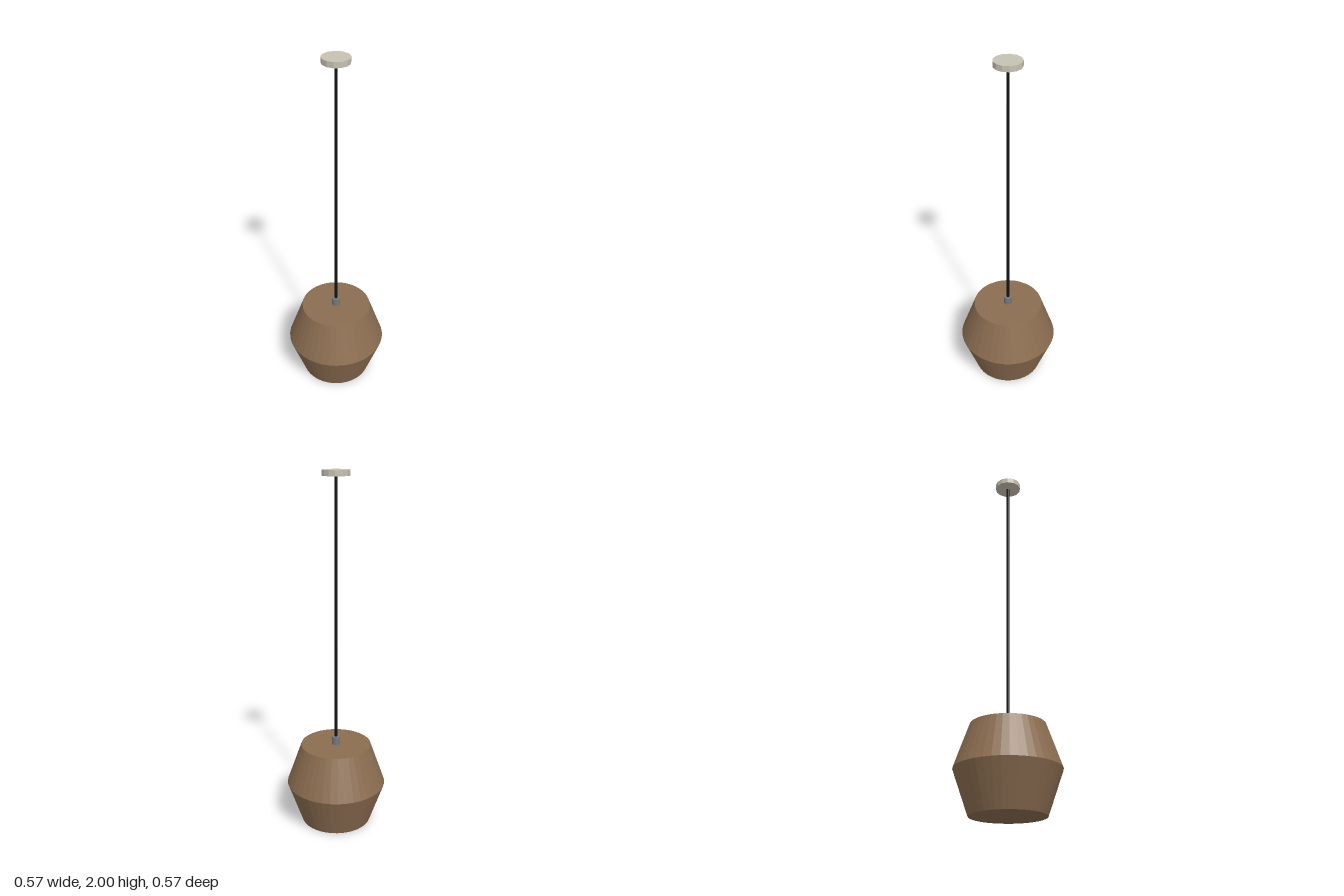
import * as THREE from 'three';

const paint = (color) => new THREE.MeshStandardMaterial({ color, flatShading: true });

export function createModel() {
  const lamp = new THREE.Group();
  lamp.name = 'pendantLamp';

  // Upright cylinder or cone section between two heights, with a vertex on +x
  function section(name, rBottom, rTop, y0, y1, sides, material, open = false) {
    const geometry = new THREE.CylinderGeometry(rTop, rBottom, y1 - y0, sides, 1, open, Math.PI / 2);
    const mesh = new THREE.Mesh(geometry, material);
    mesh.name = name;
    mesh.position.y = (y0 + y1) / 2;
    lamp.add(mesh);
  }

  // Closed double-cone shade, widest at its middle
  const profile = [[0, 0], [0.2, 0], [0.283, 0.235], [0.2, 0.47], [0, 0.47]];
  const shade = new THREE.Mesh(
    new THREE.LatheGeometry(profile.map(([r, y]) => new THREE.Vector2(r, y)), 40),
    paint(0x8b6d50)
  );
  shade.name = 'shade';
  lamp.add(shade);

  // Cord grip, cord and ceiling canopy
  section('cordGrip', 0.024, 0.024, 0.47, 0.516, 13, paint(0x75787a));
  section('cord', 0.008, 0.008, 0.516, 1.97, 8, paint(0x111111));
  section('ceilingCanopy', 0.074, 0.074, 1.97, 2, 13, paint(0xc6c1b2));

  return lamp;
}
